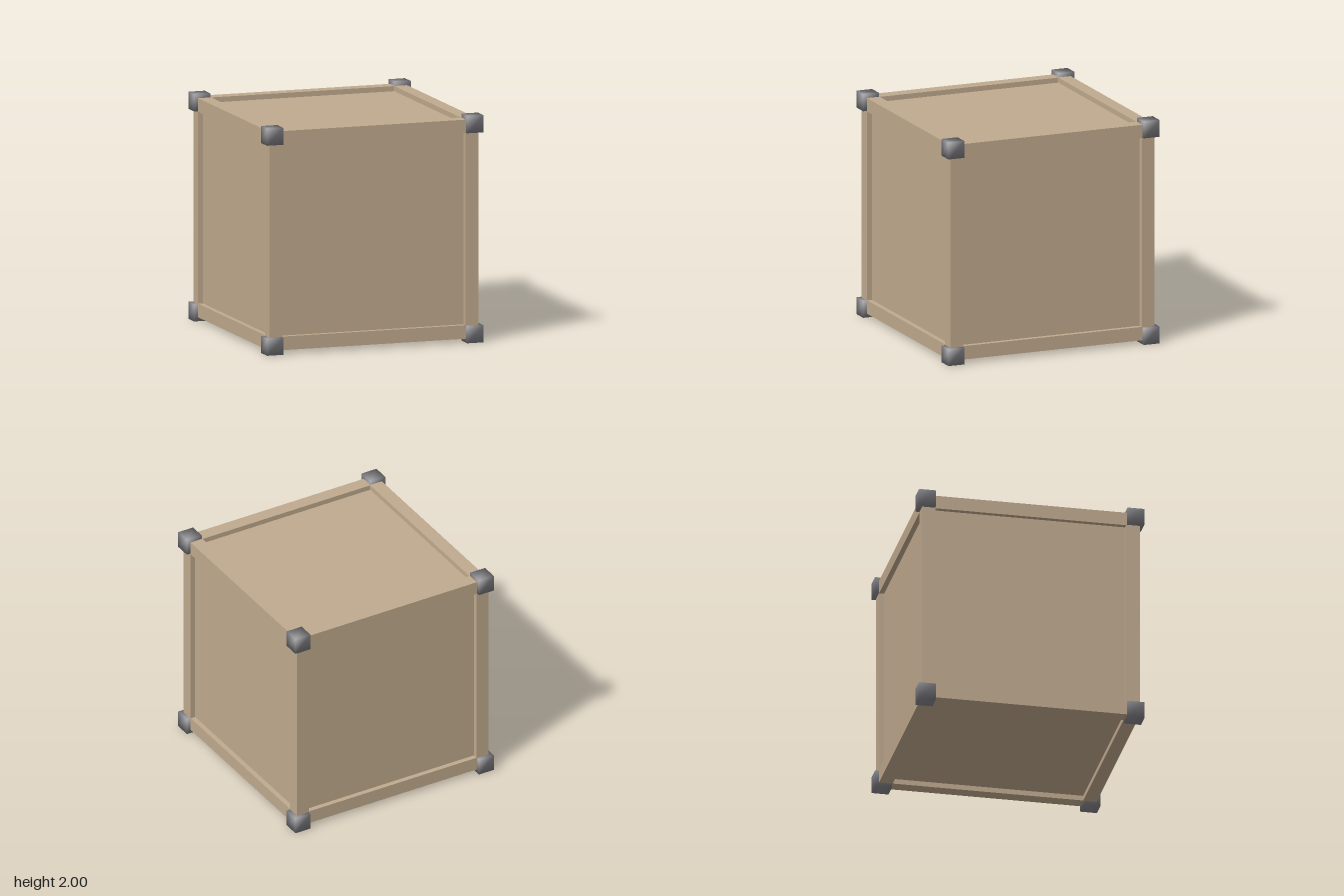
import * as THREE from 'three';
import { mergeVertices } from 'three/addons/utils/BufferGeometryUtils.js';

const CORNER = 0.15;      // corner cap size
const FRAME_OUT = 0.965;  // outer face of the beams
const FRAME_IN = 0.845;   // inner face of the beams
const PANEL = 0.92;       // recessed panel faces

// Box with shared vertices, so the shading rolls softly over its edges
function softBox(size) {
  const geometry = new THREE.BoxGeometry(size, size, size);
  geometry.deleteAttribute('normal');
  geometry.deleteAttribute('uv');
  const merged = mergeVertices(geometry);
  const normals = merged.attributes.position.clone();
  merged.setAttribute('normal', normals);
  merged.normalizeNormals();
  return merged;
}

export function createModel() {
  const crate = new THREE.Group();
  crate.name = 'crate';
  const wood = new THREE.MeshStandardMaterial({ color: 0xc0aa8e });
  const metal = new THREE.MeshStandardMaterial({ color: 0x77777c });

  const add = (name, geometry, material, position) => {
    const mesh = new THREE.Mesh(geometry, material);
    mesh.name = name;
    mesh.position.set(position[0], position[1] + 1, position[2]);
    crate.add(mesh);
  };

  // Recessed panels on all six sides
  add('panels', new THREE.BoxGeometry(2 * PANEL, 2 * PANEL, 2 * PANEL), wood, [0, 0, 0]);

  // Four beams along each axis
  const thickness = FRAME_OUT - FRAME_IN;
  const centre = (FRAME_OUT + FRAME_IN) / 2;
  ['X', 'Y', 'Z'].forEach((label, axis) => {
    const size = [thickness, thickness, thickness];
    size[axis] = 2 * FRAME_IN + 0.02;
    const beam = new THREE.BoxGeometry(...size);
    for (const a of [-1, 1]) {
      for (const b of [-1, 1]) {
        const position = [0, 0, 0];
        position[(axis + 1) % 3] = a * centre;
        position[(axis + 2) % 3] = b * centre;
        add('beam' + label, beam, wood, position);
      }
    }
  });

  // Metal caps on the eight corners
  const cap = softBox(CORNER);
  const c = 1 - CORNER / 2;
  for (const x of [-c, c]) {
    for (const y of [-c, c]) {
      for (const z of [-c, c]) add('cornerCap', cap, metal, [x, y, z]);
    }
  }

  return crate;
}
